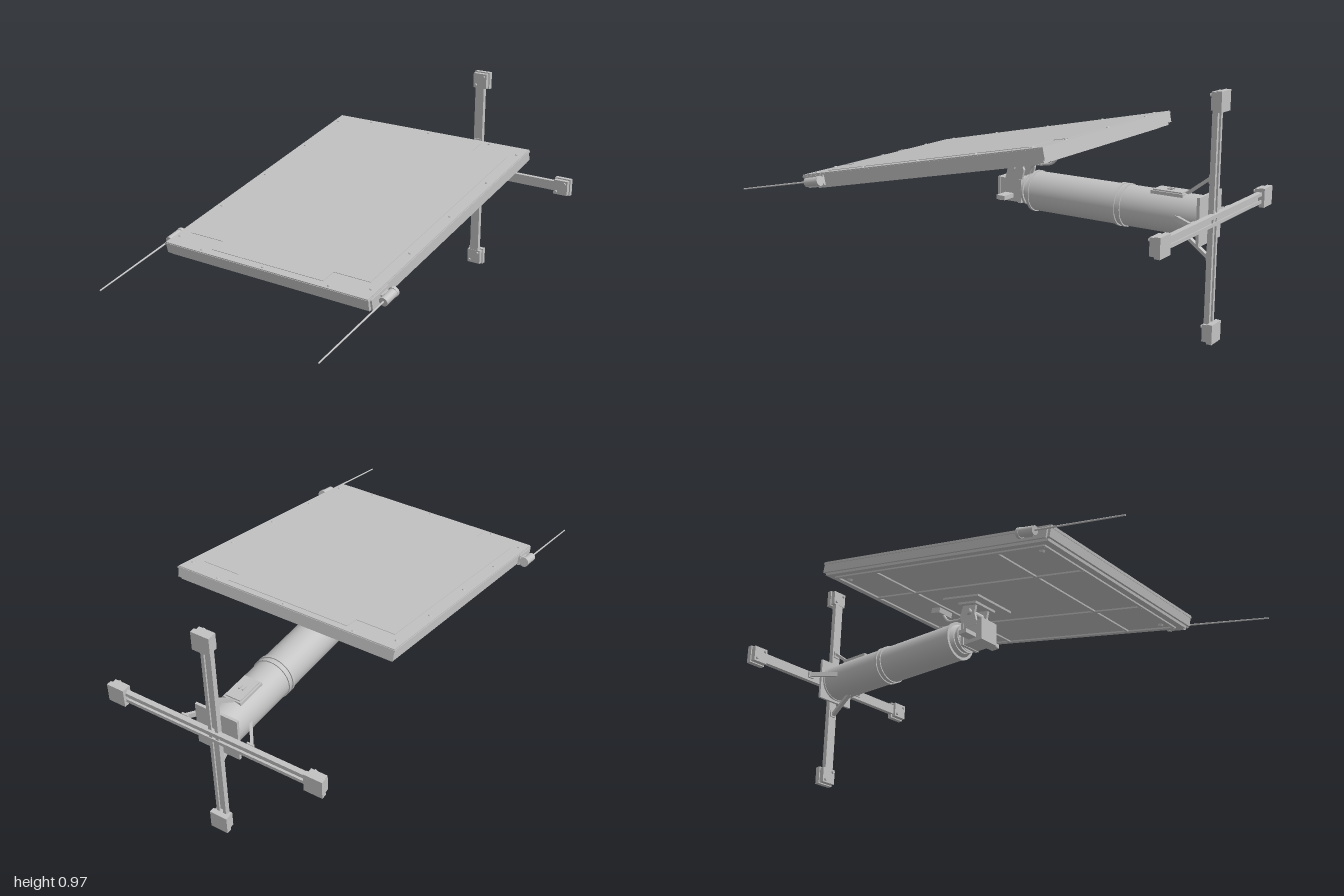
import * as THREE from 'three';

export function createModel() {
  const model = new THREE.Group();
  model.name = 'panelAntenna';
  const grey = new THREE.MeshStandardMaterial({ color: 0xc2c2c2 });
  grey.name = 'light grey';

  const add = (parent, name, geo, x = 0, y = 0, z = 0) => {
    const m = new THREE.Mesh(geo, grey);
    m.name = name;
    m.position.set(x, y, z);
    parent.add(m);
    return m;
  };
  const box = (parent, name, w, h, d, x, y, z) => add(parent, name, new THREE.BoxGeometry(w, h, d), x, y, z);
  // Cylinder lying along z between z0 and z1
  const tubeZ = (parent, name, r, z0, z1, x, y, r2 = r, n = 40) =>
    add(parent, name, new THREE.CylinderGeometry(r2, r, z1 - z0, n).rotateX(Math.PI / 2), x, y, (z0 + z1) / 2);
  const shapeOf = pts => new THREE.Shape(pts.map(p => new THREE.Vector2(...p)));

  const CY = 0.485; // height of the column axis

  // ---- Wall cross: two U channels, four end blocks with bolts ----
  const cross = new THREE.Group();
  cross.name = 'mountingCross';
  cross.position.y = CY;
  model.add(cross);
  const channel = shapeOf([[-0.022, 0], [0.022, 0], [0.022, -0.022], [0.008, -0.022], [0.008, -0.018],
    [0.017, -0.018], [0.017, -0.005], [-0.017, -0.005], [-0.017, -0.018], [-0.008, -0.018], [-0.008, -0.022], [-0.022, -0.022]]);
  const arm = () => new THREE.ExtrudeGeometry(channel, { depth: 0.88, bevelEnabled: false })
    .translate(0, 0, -0.44).rotateX(Math.PI / 2).scale(1, 1, 1);
  // profile depth ends up along z; the open side faces the wall
  add(cross, 'verticalArm', arm(), 0, 0, -0.957);
  add(cross, 'horizontalArm', arm().rotateZ(Math.PI / 2), 0, 0, -0.967);
  for (const [sx, sy] of [[1, 0], [-1, 0], [0, 1], [0, -1]]) {
    const cx = sx * 0.444, cy = sy * 0.444;
    box(cross, 'endBlock', 0.068, 0.068, 0.04, cx, cy, -0.976);
    box(cross, 'endPad', 0.078, 0.078, 0.022, cx, cy, -0.989);
    for (const s of [1, -1])
      tubeZ(cross, 'endBolt', 0.007, -0.957, -0.947, cx + s * 0.021, cy + s * 0.021, 0.007, 6);
  }

  // ---- Column, base plate and braces ----
  const column = new THREE.Group();
  column.name = 'column';
  model.add(column);
  box(column, 'basePlate', 0.188, 0.188, 0.012, 0, CY, -0.95);
  tubeZ(column, 'columnTube', 0.081, -0.945, -0.18, 0, CY);
  for (const [z0, z1, r] of [[-0.945, -0.935, 0.084], [-0.614, -0.602, 0.086], [-0.59, -0.578, 0.086], [-0.192, -0.18, 0.085]])
    tubeZ(column, 'columnBand', r, z0, z1, 0, CY);
  tubeZ(column, 'columnShoulder', 0.073, -0.18, -0.165, 0, CY, 0.062);
  tubeZ(column, 'columnNeck', 0.056, -0.165, -0.14, 0, CY);
  tubeZ(column, 'neckCollar', 0.064, -0.152, -0.142, 0, CY);
  for (let i = 0; i < 4; i++) {
    const g = new THREE.Group();
    g.name = 'brace';
    g.rotation.z = i * Math.PI / 2;
    g.position.set(0, CY, 0);
    const b = box(g, 'braceStrut', 0.02, 0.125, 0.012, 0, 0.115, -0.904);
    b.rotation.x = -Math.atan2(0.1, 0.077);
    box(g, 'braceFoot', 0.03, 0.03, 0.008, 0, 0.148, -0.955);
    column.add(g);
  }
  // Service hatch on top of the column
  box(column, 'hatchBase', 0.08, 0.02, 0.135, 0, 0.558, -0.792);
  box(column, 'hatchLid', 0.066, 0.006, 0.121, 0, 0.57, -0.792);
  for (const x of [-0.006, 0.01]) box(column, 'hatchLatch', 0.006, 0.006, 0.022, x, 0.575, -0.792);

  // ---- Tilt head ----
  const head = new THREE.Group();
  head.name = 'tiltHead';
  model.add(head);
  box(head, 'headBlock', 0.09, 0.095, 0.095, 0, 0.483, -0.073);
  box(head, 'headFacePlate', 0.1, 0.1, 0.012, 0, 0.483, -0.026);
  box(head, 'crossBar', 0.22, 0.018, 0.04, 0, 0.461, -0.075);
  box(head, 'headBackPlate', 0.1, 0.1, 0.014, 0, 0.483, -0.128);
  const lug = new THREE.ExtrudeGeometry(
    shapeOf([[0.045, 0], [0.06, 0.06], [0.035, 0.125], [-0.035, 0.125], [-0.02, 0.06], [-0.035, 0]]),
    { depth: 0.012, bevelEnabled: false }).translate(0, 0, -0.006).rotateY(Math.PI / 2);
  for (const s of [1, -1]) add(head, 'hingeLug', lug, s * 0.04, 0.512, -0.085);
  add(head, 'hingePin', new THREE.CylinderGeometry(0.014, 0.014, 0.12, 20).rotateZ(Math.PI / 2), 0, 0.58, -0.092);
  const cable = new THREE.CatmullRomCurve3([[0, 0.535, -0.135], [0.01, 0.59, -0.165], [0.02, 0.602, -0.22],
    [0.02, 0.615, -0.27], [0.02, 0.655, -0.3]].map(p => new THREE.Vector3(...p)));
  add(head, 'cable', new THREE.TubeGeometry(cable, 24, 0.006, 8));

  // ---- Tilted panel; local y is the panel normal ----
  const panel = new THREE.Group();
  panel.name = 'panel';
  panel.position.set(0, 0.627, 0.066);
  panel.rotation.x = THREE.MathUtils.degToRad(12);
  model.add(panel);
  box(panel, 'panelBody', 0.976, 0.048, 1.222, 0, 0.006, 0);
  box(panel, 'panelRim', 0.982, 0.008, 1.226, 0, 0.022, 0);
  box(panel, 'lowerFlange', 0.96, 0.012, 1.2, 0, -0.023, 0);
  // Cover with notched corners
  const a = 0.435, b = 0.27, c = 0.515, d = 0.58;
  const cover = shapeOf([[-a, -c], [-b, -c], [-b, -d], [b, -d], [b, -c], [a, -c],
    [a, c], [b, c], [b, d], [-b, d], [-b, c], [-a, c]]);
  add(panel, 'topCover', new THREE.ExtrudeGeometry(cover, { depth: 0.003, bevelEnabled: false })
    .rotateX(-Math.PI / 2), 0, 0.029, 0);
  // Screws around the rim
  const screw = new THREE.CylinderGeometry(0.006, 0.009, 0.006, 10);
  for (const s of [1, -1]) {
    for (const z of [-0.55, -0.29, 0, 0.29, 0.55]) add(panel, 'rimScrew', screw, s * 0.463, 0.031, z);
    for (const x of [-0.307, 0, 0.307]) add(panel, 'rimScrew', screw, x, 0.031, s * 0.595);
  }
  // Underside ribs, corner pads and mounting plates
  for (const s of [1, -1]) {
    box(panel, 'longRib', 0.014, 0.008, 1.12, s * 0.2, -0.032, 0);
    box(panel, 'sideRib', 0.014, 0.008, 1.12, s * 0.45, -0.032, 0);
    box(panel, 'crossRib', 0.91, 0.007, 0.014, 0, -0.032, s * 0.33);
    box(panel, 'endRib', 0.91, 0.007, 0.014, 0, -0.032, s * 0.56);
    for (const z of [-0.52, 0.52])
      add(panel, 'underScrew', new THREE.CylinderGeometry(0.012, 0.009, 0.01, 12), s * 0.41, -0.033, z);
  }
  box(panel, 'mountPlate', 0.22, 0.01, 0.2, 0, -0.033, -0.15);
  box(panel, 'hingePlate', 0.13, 0.012, 0.1, 0, -0.042, -0.15);
  box(panel, 'connectorBox', 0.08, 0.026, 0.05, 0.02, -0.04, -0.375);

  // Side clamps with whip rods
  for (const s of [1, -1]) {
    const clamp = new THREE.Group();
    clamp.name = s > 0 ? 'leftClamp' : 'rightClamp';
    panel.add(clamp);
    box(clamp, 'clampPlate', 0.008, 0.045, 0.11, s * 0.492, 0, 0.545);
    box(clamp, 'clampArm', 0.03, 0.024, 0.04, s * 0.505, 0, 0.525);
    tubeZ(clamp, 'clampBarrel', 0.018, 0.487, 0.565, s * 0.519, 0, 0.018, 24);
    tubeZ(clamp, 'clampCap', 0.021, 0.487, 0.5, s * 0.517, 0, 0.021, 24);
    tubeZ(clamp, 'whipRod', 0.004, 0.5, 0.955, s * 0.519, 0.001, 0.003, 10);
  }
  return model;
}
